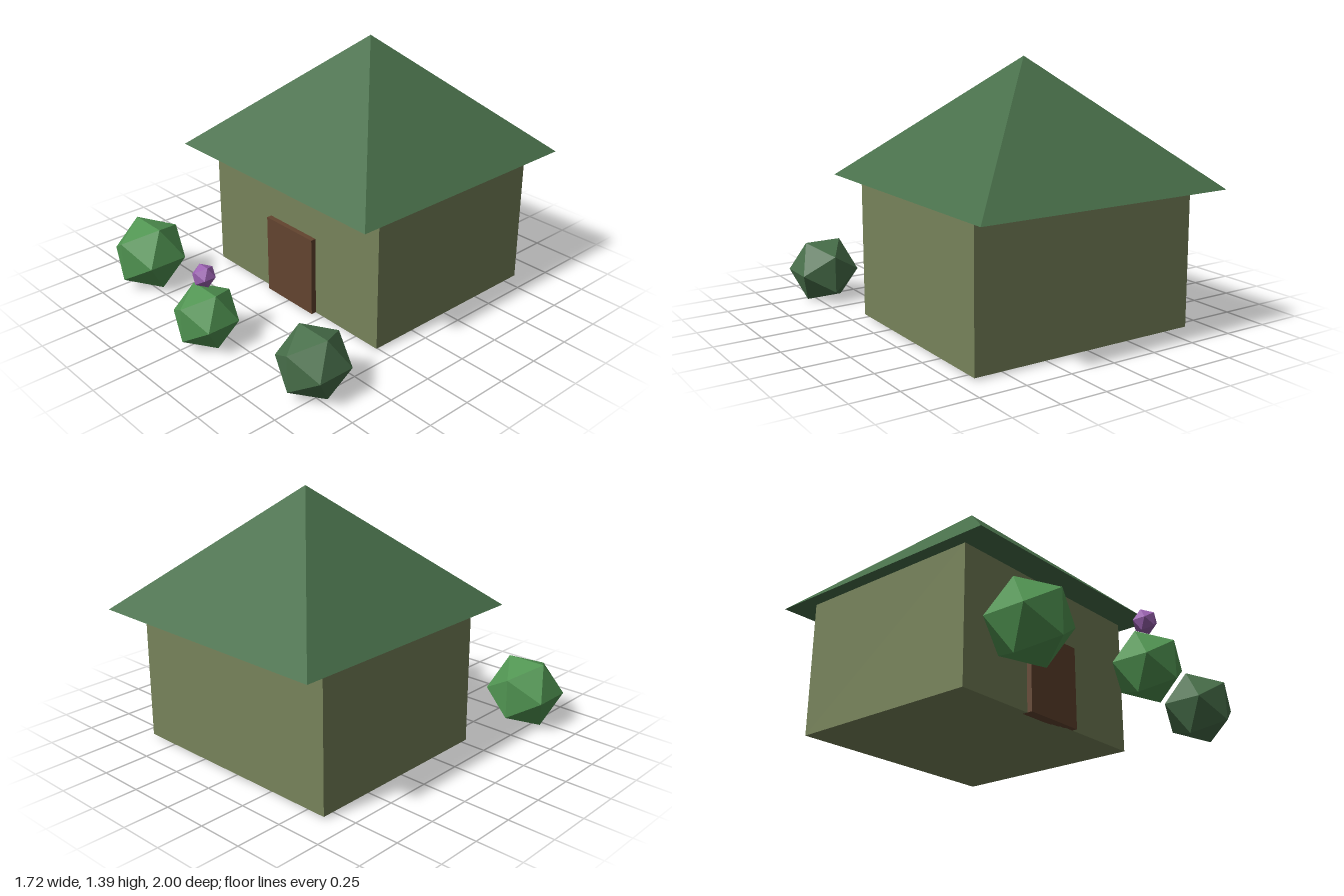
import * as THREE from 'three';

function material(name, color) {
  const m = new THREE.MeshStandardMaterial({ color, flatShading: true });
  m.name = name;
  return m;
}

export function createModel() {
  const group = new THREE.Group();
  const olive = material('olive wall', 0x77835a);
  const darkGreen = material('dark green', 0x486f4a);
  const leafGreen = material('leaf green', 0x519552);
  const brown = material('door brown', 0x63442f);
  const purple = material('flower purple', 0x9c63b2);

  function add(name, geometry, mat, x, y, z) {
    const mesh = new THREE.Mesh(geometry, mat);
    mesh.name = name;
    mesh.position.set(x, y, z);
    group.add(mesh);
  }

  // House: walls, four-sided roof with overhang, door proud of the front wall
  const cx = 0.023, cz = -0.281;
  add('walls', new THREE.BoxGeometry(1.284, 0.742, 1.094), olive, cx, 0.386, cz + 0.002);
  const roof = new THREE.ConeGeometry(0.718 * Math.SQRT2, 0.641, 4).rotateY(Math.PI / 4);
  add('roof', roof, darkGreen, cx, 0.756 + 0.3205, cz);
  add('door', new THREE.BoxGeometry(0.36, 0.442, 0.058), brown, cx, 0.236, 0.268);

  // Bushes and the flower on the middle one: [name, radius, material, x, y, z]
  const plants = [
    ['rightBush', 0.21, leafGreen, -0.685, 0.182, 0.716],
    ['middleBush', 0.178, leafGreen, cx, 0.157, 0.848],
    ['leftBush', 0.191, darkGreen, 0.697, 0.167, 0.718],
    ['flower', 0.063, purple, cx, 0.388, 0.848],
  ];
  for (const [name, radius, mat, x, y, z] of plants) {
    add(name, new THREE.IcosahedronGeometry(radius, 0), mat, x, y, z);
  }
  return group;
}
